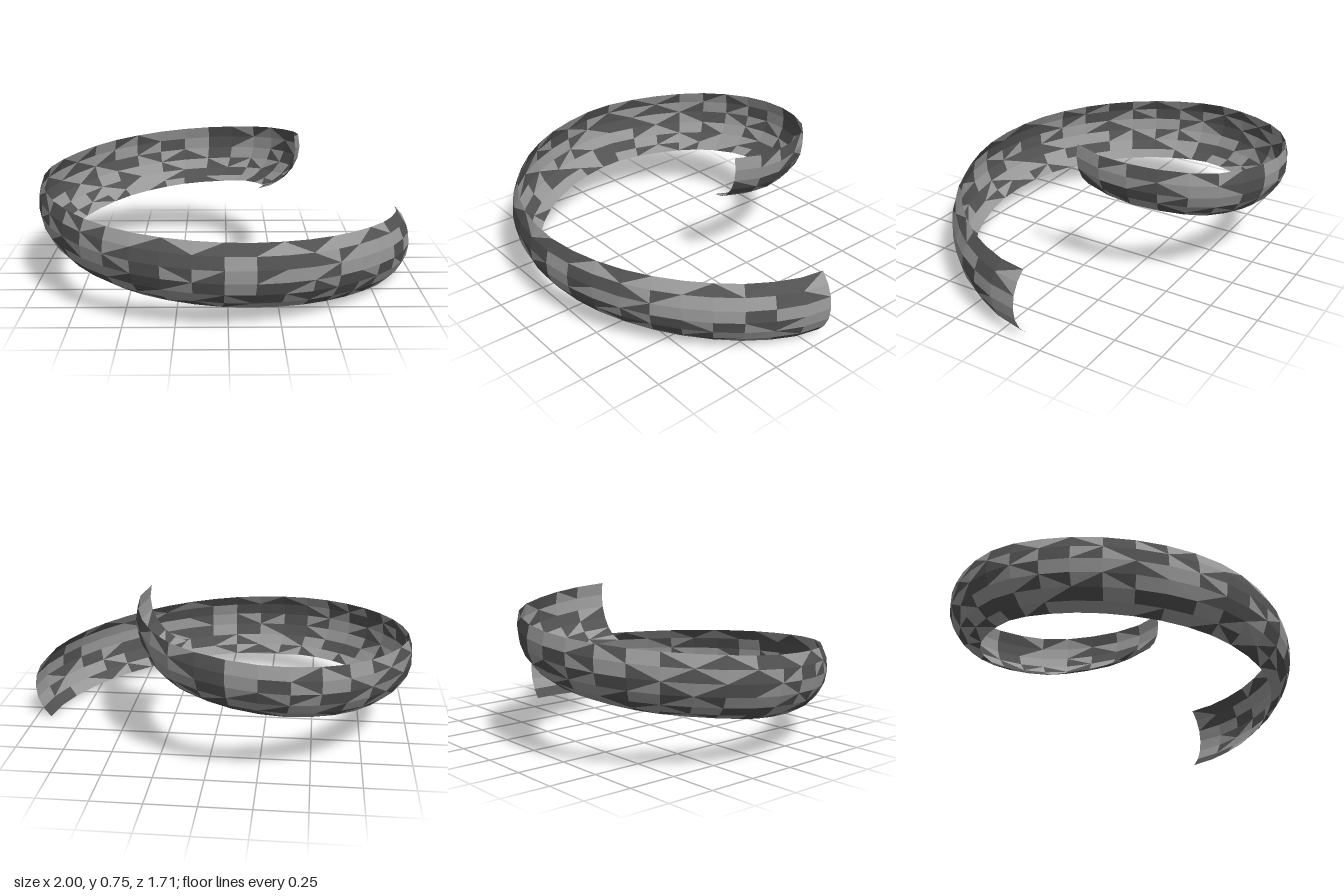
import * as THREE from 'three';

// Plan of the outermost line of the spiral, as [x, z], from the low end to the high end
const PLAN = [
  [0.999, -0.105], [0.987, 0], [0.942, 0.14], [0.825, 0.35], [0.58, 0.605], [0.29, 0.775], [-0.06, 0.85],
  [-0.43, 0.785], [-0.71, 0.6], [-0.915, 0.31], [-1, 0], [-0.99, -0.21], [-0.855, -0.505],
  [-0.665, -0.715], [-0.385, -0.845], [-0.14, -0.85], [0.06, -0.787], [0.215, -0.683],
  [0.335, -0.49], [0.401, -0.235], [0.364, -0.042],
];
const RADIUS = 0.23;                            // radius of the channel's arc section
const HALF_ARC = THREE.MathUtils.degToRad(49);  // half of the arc's opening
const ALONG = 36, ACROSS = 6;
const LIGHT = 0x989898, DARK = 0x525252;        // the two greys of the patchy skin

const height = (u) => 0.174 + 0.41 * u + 0.1 * u * u;
const tilt = (u) => THREE.MathUtils.degToRad(33 * (1.45 * u - 0.45 * u * u));

function seeded(seed) {
  let s = seed;
  return () => (s = (s * 16807) % 2147483647) / 2147483647;
}

// Points of an arc swept along the spiral; it rolls from upright to cupped as it climbs
function channelPoints() {
  const path = new THREE.CatmullRomCurve3(PLAN.map(([x, z]) => new THREE.Vector3(x, 0, z)));
  path.arcLengthDivisions = 600;
  const positions = [];
  for (let i = 0; i <= ALONG; i++) {
    const u = i / ALONG;
    const p = path.getPointAt(u), t = path.getTangentAt(u);
    for (let j = 0; j <= ACROSS; j++) {
      const a = -tilt(u) + HALF_ARC * (2 * j / ACROSS - 1);
      const out = RADIUS * (Math.cos(a) - 1);
      positions.push(p.x + t.z * out, height(u) + RADIUS * Math.sin(a), p.z - t.x * out);
    }
  }
  return new THREE.Float32BufferAttribute(positions, 3);
}

// Deal the facets into light and dark patches, with alternating diagonals
function patchIndices(darkShare) {
  const random = seeded(41);
  const light = [], dark = [];
  for (let i = 0; i < ALONG; i++) {
    for (let j = 0; j < ACROSS; j++) {
      const a = i * (ACROSS + 1) + j, b = a + ACROSS + 1, c = a + 1, d = b + 1;
      const facets = (i + j) % 2 ? [[a, c, b], [c, d, b]] : [[a, c, d], [a, d, b]];
      for (const facet of facets) (random() < darkShare ? dark : light).push(...facet);
    }
  }
  return { light, dark };
}

// One set of patches, open and visible from both sides
function patchMesh(name, points, index, color) {
  const geometry = new THREE.BufferGeometry();
  geometry.setAttribute('position', points);
  geometry.setIndex(index);
  geometry.computeVertexNormals();
  const mesh = new THREE.Mesh(geometry, new THREE.MeshStandardMaterial({
    color, flatShading: true, side: THREE.DoubleSide,
  }));
  mesh.name = name;
  return mesh;
}

export function createModel() {
  const model = new THREE.Group();
  model.name = 'spiralChannel';
  const points = channelPoints();
  const { light, dark } = patchIndices(0.48);
  model.add(
    patchMesh('lightPatches', points, light, LIGHT),
    patchMesh('darkPatches', points, dark, DARK),
  );
  return model;
}
